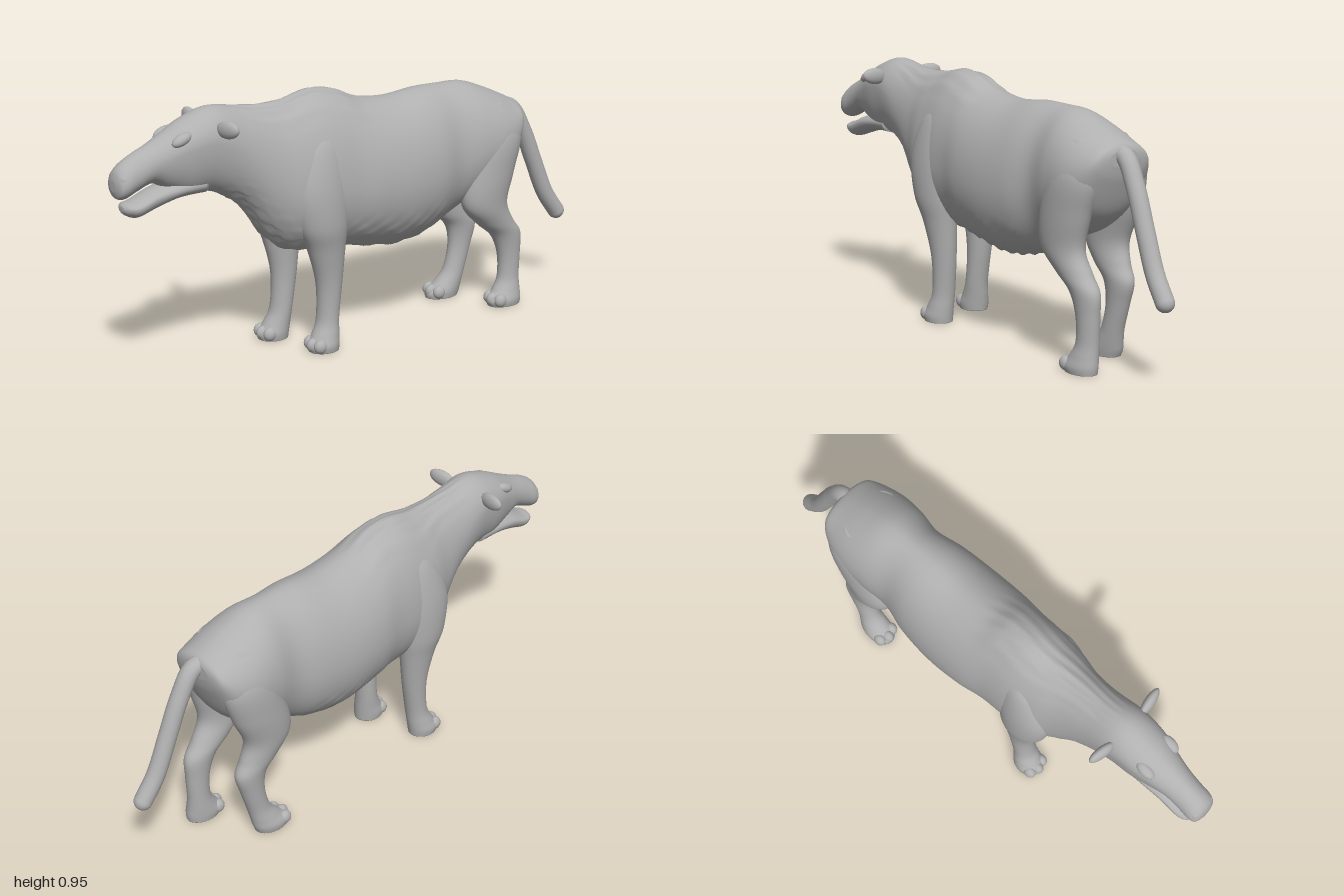
import * as THREE from 'three';

const hide = new THREE.MeshStandardMaterial({ color: 0xb0b0b0 });
hide.name = 'grey hide';

const { clamp, smoothstep } = THREE.MathUtils;

// Smoothly interpolate every column of a table of sections
function resample(rows, steps) {
  const out = [];
  const last = rows.length - 1;
  const at = (i) => rows[clamp(i, 0, last)];
  for (let i = 0; i < last; i++) {
    for (let s = 0; s < steps; s++) {
      const t = s / steps;
      out.push(rows[i].map((p1, c) => {
        const p0 = at(i - 1)[c], p2 = at(i + 1)[c], p3 = at(i + 2)[c];
        return p1 + 0.5 * t * (p2 - p0 + t * (2 * p0 - 5 * p1 + 4 * p2 - p3 + t * (3 * (p1 - p2) + p3 - p0)));
      }));
    }
  }
  out.push(rows[last]);
  return out;
}

// Closed skin over rings of points; place(row, angle) gives one point
function loft(rows, place, steps = 6, sides = 32) {
  const rings = resample(rows, steps);
  const pos = [], index = [];
  for (const row of rings) {
    for (let j = 0; j < sides; j++) pos.push(...place(row, (j / sides) * Math.PI * 2));
  }
  const n = rings.length;
  for (let i = 0; i < n - 1; i++) {
    for (let j = 0; j < sides; j++) {
      const k = (j + 1) % sides;
      const a = i * sides + j, b = i * sides + k, c = a + sides, d = b + sides;
      index.push(a, b, c, b, d, c);
    }
  }
  // End caps
  for (const [ring, flip] of [[0, true], [n - 1, false]]) {
    const centre = [0, 0, 0];
    for (let j = 0; j < sides; j++) {
      for (let c = 0; c < 3; c++) centre[c] += pos[(ring * sides + j) * 3 + c] / sides;
    }
    const m = pos.length / 3;
    pos.push(...centre);
    for (let j = 0; j < sides; j++) {
      const a = ring * sides + j, b = ring * sides + ((j + 1) % sides);
      index.push(m, flip ? b : a, flip ? a : b);
    }
  }
  const g = new THREE.BufferGeometry();
  g.setAttribute('position', new THREE.Float32BufferAttribute(pos, 3));
  g.setIndex(index);
  g.computeVertexNormals();
  return g;
}

// Section across z: [z, top, bottom, half width, height of widest point 0..1]
function across([z, top, bottom, w, k], a) {
  const s = Math.sin(a), c = Math.cos(a);
  const mid = bottom + (top - bottom) * k;
  return [w * Math.sign(c) * Math.abs(c) ** (s > 0 ? 1.08 : 0.95), mid + s * (s > 0 ? top - mid : mid - bottom), z];
}

// Body section with shaggy chest and belly and a grooved mane
function shaggy(row, a) {
  const p = across(row, a);
  const z = row[0], s = Math.sin(a);
  const chest = smoothstep(z, 0.22, 0.32) * (1 - smoothstep(z, 0.52, 0.62));
  const belly = smoothstep(z, -0.35, -0.25) * (1 - smoothstep(z, 0.05, 0.2));
  const low = smoothstep(-s, 0.35, 0.8) * Math.max(chest, belly);
  const mane = smoothstep(s, 0.6, 0.85) * smoothstep(z, -0.05, 0.1) * (1 - smoothstep(z, 0.5, 0.6));
  const tuft = Math.sin(a * 17 + z * 23) * Math.sin(z * 71 + a * 5);
  const groove = Math.sin(a * 21 + Math.sin(z * 19) * 1.3);
  p[0] *= 1 + 0.06 * low * tuft;
  p[1] += 0.009 * low * tuft + 0.004 * mane * groove;
  return p;
}

// Section across y: [y, z, half depth, x, half width]
const level = ([y, z, rz, x, rx], a) => [x + rx * Math.cos(a), y, z - rz * Math.sin(a)];

const bodyRows = [
  [-0.725, 0.77, 0.71, 0.06, 0.5],
  [-0.71, 0.79, 0.65, 0.115, 0.5],
  [-0.66, 0.815, 0.54, 0.15, 0.5],
  [-0.58, 0.85, 0.47, 0.17, 0.48],
  [-0.49, 0.88, 0.43, 0.168, 0.46],
  [-0.39, 0.885, 0.38, 0.155, 0.45],
  [-0.28, 0.885, 0.335, 0.18, 0.45],
  [-0.14, 0.873, 0.315, 0.193, 0.46],
  [0, 0.89, 0.335, 0.19, 0.45],
  [0.1, 0.93, 0.35, 0.175, 0.42],
  [0.2, 0.943, 0.36, 0.17, 0.4],
  [0.31, 0.922, 0.375, 0.157, 0.4],
  [0.4, 0.917, 0.44, 0.125, 0.45],
  [0.5, 0.925, 0.57, 0.105, 0.48],
  [0.62, 0.943, 0.64, 0.098, 0.6],
  [0.72, 0.915, 0.648, 0.09, 0.65],
  [0.8, 0.875, 0.68, 0.073, 0.6],
  [0.86, 0.845, 0.708, 0.061, 0.5],
  [0.92, 0.82, 0.69, 0.057, 0.45],
  [0.965, 0.795, 0.672, 0.057, 0.45],
  [0.99, 0.77, 0.675, 0.047, 0.45],
  [1.0, 0.74, 0.7, 0.02, 0.5],
];

const jawRows = [
  [0.66, 0.72, 0.645, 0.062, 0.5],
  [0.76, 0.71, 0.643, 0.06, 0.5],
  [0.85, 0.69, 0.62, 0.055, 0.6],
  [0.92, 0.662, 0.6, 0.053, 0.6],
  [0.955, 0.655, 0.61, 0.042, 0.6],
  [0.97, 0.645, 0.625, 0.015, 0.5],
];

const frontLegRows = [
  [0, 0.218, 0.058, 0.108, 0.05],
  [0.025, 0.22, 0.062, 0.108, 0.053],
  [0.06, 0.208, 0.052, 0.105, 0.048],
  [0.12, 0.195, 0.042, 0.1, 0.043],
  [0.25, 0.19, 0.05, 0.102, 0.046],
  [0.38, 0.205, 0.074, 0.108, 0.057],
  [0.48, 0.225, 0.1, 0.115, 0.068],
  [0.62, 0.235, 0.115, 0.11, 0.07],
  [0.76, 0.22, 0.09, 0.09, 0.06],
  [0.84, 0.2, 0.03, 0.08, 0.02],
];

const hindLegRows = [
  [0, -0.635, 0.07, 0.108, 0.048],
  [0.025, -0.633, 0.075, 0.108, 0.051],
  [0.06, -0.648, 0.058, 0.104, 0.045],
  [0.11, -0.66, 0.045, 0.1, 0.038],
  [0.2, -0.66, 0.049, 0.1, 0.038],
  [0.28, -0.642, 0.067, 0.1, 0.044],
  [0.34, -0.585, 0.082, 0.102, 0.052],
  [0.42, -0.53, 0.1, 0.107, 0.06],
  [0.54, -0.545, 0.115, 0.108, 0.067],
  [0.68, -0.58, 0.115, 0.1, 0.068],
  [0.8, -0.58, 0.05, 0.08, 0.03],
];

export function createModel() {
  const model = new THREE.Group();
  model.name = 'animal';
  const add = (name, geometry, parent = model) => {
    const mesh = new THREE.Mesh(geometry, hide);
    mesh.name = name;
    parent.add(mesh);
    return mesh;
  };
  const ball = new THREE.SphereGeometry(1, 24, 16);
  const blob = (name, x, y, z, sx, sy, sz, parent) => {
    const mesh = add(name, ball, parent);
    mesh.position.set(x, y, z);
    mesh.scale.set(sx, sy, sz);
    return mesh;
  };

  add('bodyAndHead', loft(bodyRows, shaggy, 8, 72));
  add('lowerJaw', loft(jawRows, across));

  // Legs; the right pair steps forward
  for (const [label, side] of [['left', 1], ['right', -1]]) {
    for (const [kind, rows, stride, reach] of [['FrontLeg', frontLegRows, 0.075, 1.1], ['HindLeg', hindLegRows, 0.135, 0.5]]) {
      const leg = new THREE.Group();
      leg.name = label + kind;
      model.add(leg);
      const step = side < 0 ? stride : 0;
      const placed = rows.map(([y, z, rz, x, rx]) => [y, z + step * Math.max(0, 1 - y / reach), rz, x * side, rx]);
      add('limb', loft(placed, level), leg);
      const [, z, rz, x] = placed[1];
      for (let t = -1; t <= 1; t++) {
        blob('toe', x + t * 0.032, 0.026, z + rz * (t ? 0.55 : 0.72), 0.021, 0.026, 0.026, leg);
      }
    }

    // Ears, brows and nostril rims
    const ear = blob(label + 'Ear', side * 0.122, 0.88, 0.62, 0.056, 0.031, 0.019);
    ear.rotation.set(0, side * 0.15, side * 0.12);
    const brow = blob(label + 'Brow', side * 0.062, 0.856, 0.765, 0.022, 0.02, 0.04);
    brow.rotation.x = 0.4;
    blob(label + 'Nostril', side * 0.031, 0.742, 0.974, 0.02, 0.022, 0.018);
  }

  // Tail
  const path = new THREE.CatmullRomCurve3([
    [0, 0.76, -0.66], [0.005, 0.745, -0.735], [0.01, 0.65, -0.795],
    [0.015, 0.52, -0.85], [0.02, 0.38, -0.91], [0.025, 0.296, -0.968],
  ].map((p) => new THREE.Vector3(...p)));
  add('tail', new THREE.TubeGeometry(path, 40, 0.033, 18));
  blob('tailTip', 0.025, 0.296, -0.968, 0.033, 0.033, 0.033);

  return model;
}
